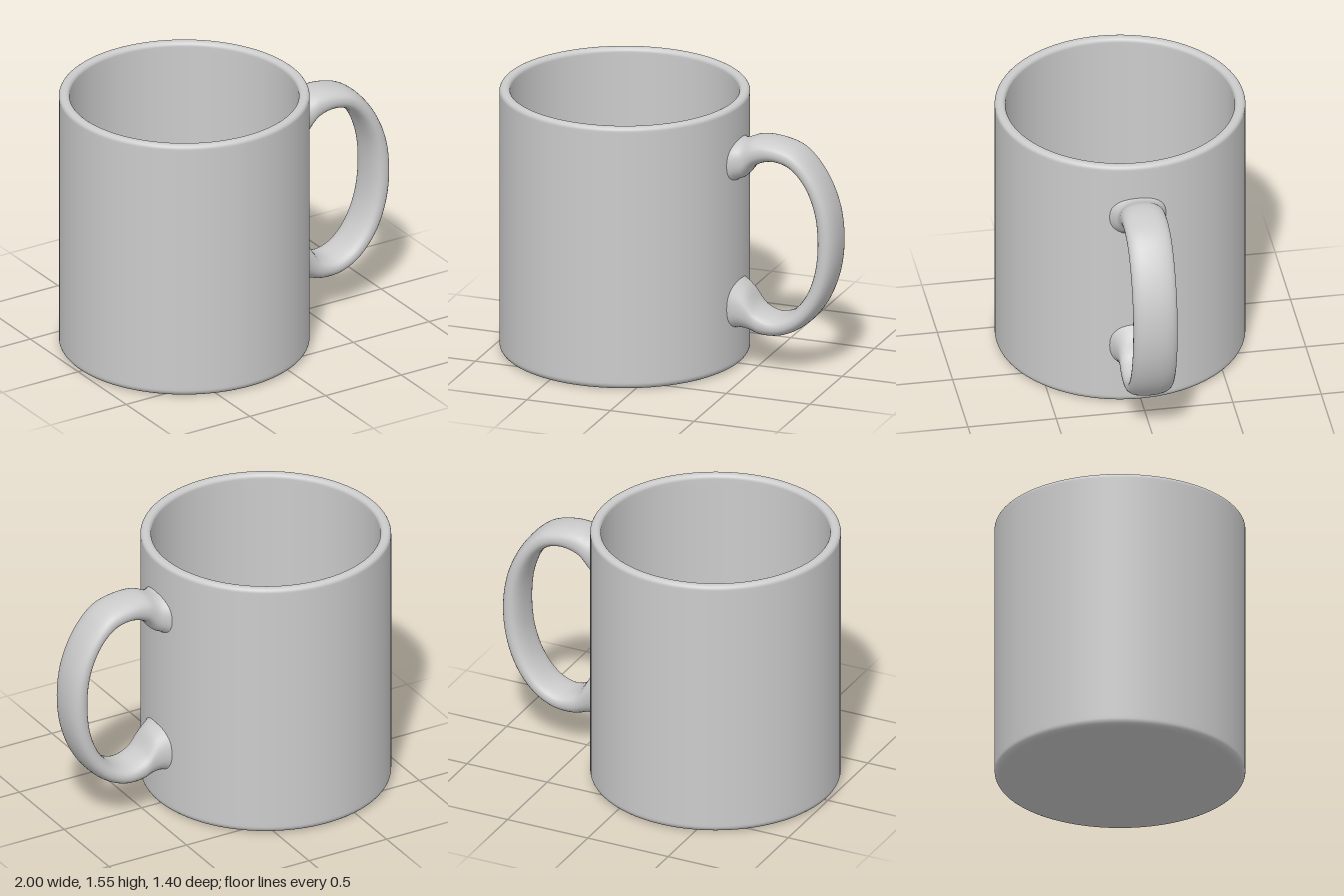
import * as THREE from 'three';

const material = new THREE.MeshStandardMaterial({ color: 0xcccccc, side: THREE.DoubleSide });

// Quarter-round corner of a lathe profile, from angle a0 to a1 (degrees)
function fillet(cx, cy, r, a0, a1, steps = 8) {
  return Array.from({ length: steps + 1 }, (_, i) => {
    const a = THREE.MathUtils.degToRad(a0 + (a1 - a0) * i / steps);
    return new THREE.Vector2(cx + r * Math.cos(a), cy + r * Math.sin(a));
  });
}

// Body: outer wall, rounded rim, inner wall and floor in one profile
function makeBody() {
  const p = (x, y) => new THREE.Vector2(x, y);
  const profile = [
    p(0, 0), p(0.64, 0),
    ...fillet(0.66, 0.04, 0.04, -90, 0),
    p(0.7, 0.06), p(0.7, 1.51),
    ...fillet(0.675, 1.525, 0.025, 0, 90),
    ...fillet(0.665, 1.525, 0.025, 90, 180),
    p(0.64, 1.5), p(0.64, 0.13),
    ...fillet(0.6, 0.11, 0.04, 0, -90),
    p(0.58, 0.07), p(0, 0.07),
  ];
  const body = new THREE.Mesh(new THREE.LatheGeometry(profile, 96), material);
  body.name = 'body';
  body.position.x = -0.3;
  return body;
}

// Handle: rounded sections spanning an outer and an inner outline, flared at the wall
function makeHandle() {
  // outer x, outer y, inner x, inner y, half width
  const stations = [
    [0.35, 1.36, 0.35, 1.07, 0.18],
    [0.405, 1.34, 0.405, 1.11, 0.145],
    [0.44, 1.345, 0.445, 1.13, 0.127],
    [0.51, 1.37, 0.51, 1.205, 0.125],
    [0.62, 1.368, 0.61, 1.24, 0.125],
    [0.76, 1.325, 0.71, 1.22, 0.125],
    [0.88, 1.2, 0.795, 1.14, 0.125],
    [0.97, 1.01, 0.86, 0.99, 0.125],
    [1.0, 0.8, 0.88, 0.8, 0.125],
    [0.975, 0.59, 0.86, 0.61, 0.125],
    [0.9, 0.41, 0.8, 0.46, 0.125],
    [0.79, 0.285, 0.71, 0.36, 0.125],
    [0.67, 0.222, 0.61, 0.33, 0.125],
    [0.55, 0.21, 0.52, 0.37, 0.125],
    [0.46, 0.23, 0.455, 0.465, 0.127],
    [0.405, 0.235, 0.405, 0.505, 0.145],
    [0.35, 0.21, 0.35, 0.54, 0.18],
  ];
  const outer = new THREE.CatmullRomCurve3(stations.map(s => new THREE.Vector3(s[0], s[1], s[4])));
  const inner = new THREE.CatmullRomCurve3(stations.map(s => new THREE.Vector3(s[2], s[3], s[4])));
  const rings = 96, sides = 32, centreZ = 0.015;
  const round = v => Math.sign(v) * Math.abs(v) ** 0.85;
  const positions = [], index = [];
  for (let i = 0; i <= rings; i++) {
    const o = outer.getPoint(i / rings), n = inner.getPoint(i / rings);
    for (let j = 0; j < sides; j++) {
      const a = j / sides * Math.PI * 2;
      const k = (1 + round(Math.cos(a))) / 2;
      positions.push(
        n.x + (o.x - n.x) * k,
        n.y + (o.y - n.y) * k,
        centreZ + o.z * round(Math.sin(a)));
      if (i === rings) continue;
      const b = i * sides + j, c = i * sides + (j + 1) % sides;
      index.push(b, c, b + sides, c, c + sides, b + sides);
    }
  }
  const geometry = new THREE.BufferGeometry();
  geometry.setAttribute('position', new THREE.Float32BufferAttribute(positions, 3));
  geometry.setIndex(index);
  geometry.computeVertexNormals();
  const handle = new THREE.Mesh(geometry, material);
  handle.name = 'handle';
  return handle;
}

export function createModel() {
  const mug = new THREE.Group();
  mug.name = 'mug';
  mug.add(makeBody(), makeHandle());
  return mug;
}
